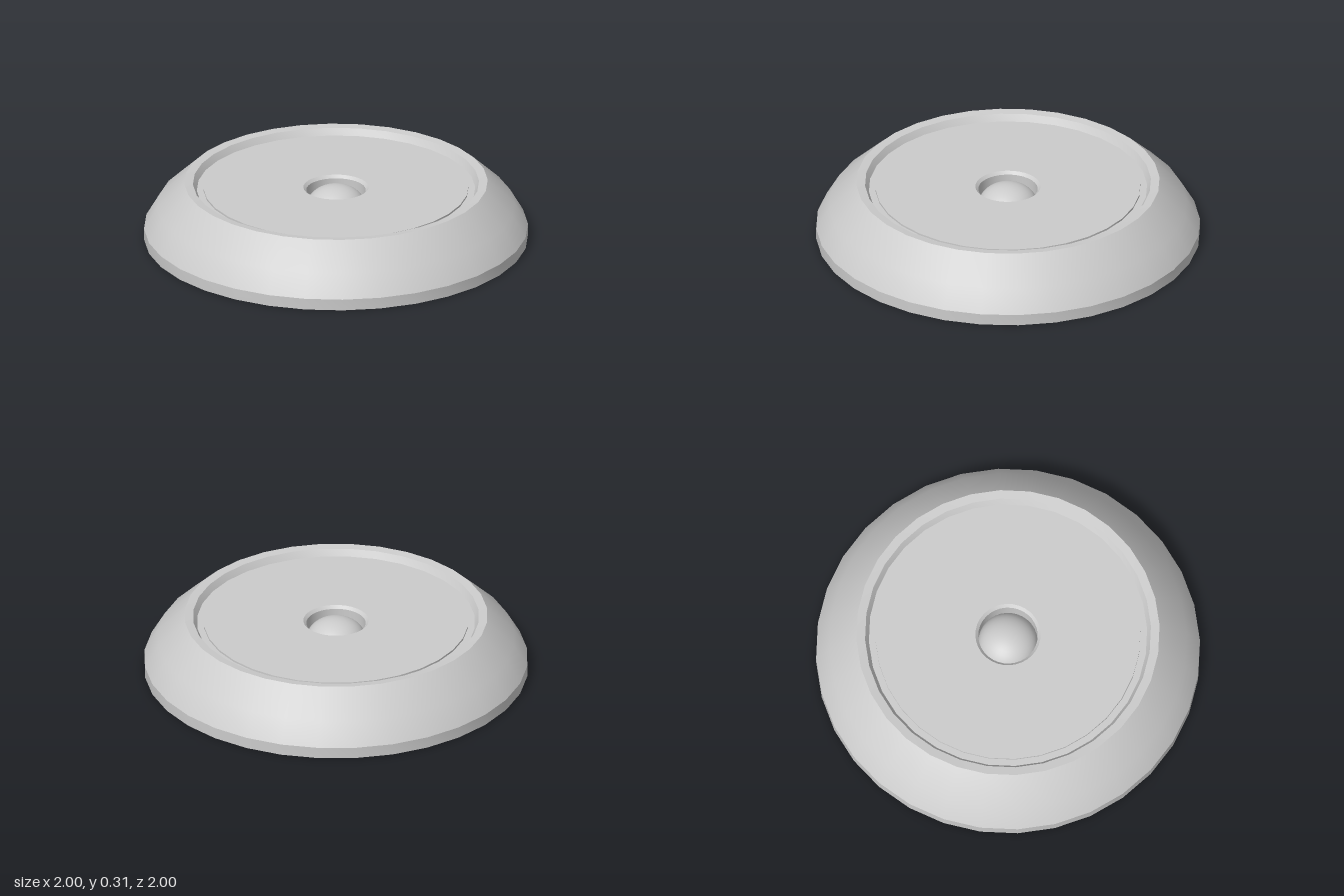
import * as THREE from 'three';
import { toCreasedNormals } from 'three/addons/utils/BufferGeometryUtils.js';

const SIDES = 32;
const material = new THREE.MeshStandardMaterial({ color: 0xcccccc });

// Revolves a profile of [radius, height] pairs, keeping sharp creases
function turned(name, profile) {
  const points = profile.map(([r, y]) => new THREE.Vector2(r, y));
  const geometry = toCreasedNormals(new THREE.LatheGeometry(points, SIDES), 0.45);
  const mesh = new THREE.Mesh(geometry, material);
  mesh.name = name;
  return mesh;
}

export function createModel() {
  const model = new THREE.Group();
  model.name = 'roundBase';

  // Rounded outer body with flat underside, rim and shallow recess
  model.add(turned('body', [
    [0, 0], [1, 0], [1, 0.06], [0.93, 0.18], [0.79, 0.31],
    [0.745, 0.305], [0.725, 0.27], [0.66, 0.27],
  ]));

  // Inset plate with a chamfered central hole
  model.add(turned('topPlate', [
    [0.69, 0.26], [0.69, 0.28], [0.17, 0.28], [0.155, 0.265], [0.155, 0.1], [0, 0.1],
  ]));

  // Domed button sunk into the hole
  const button = new THREE.Mesh(
    new THREE.SphereGeometry(0.155, SIDES, 10, 0, Math.PI * 2, 0, Math.PI / 2), material);
  button.name = 'centreButton';
  button.scale.y = 0.75;
  button.position.y = 0.17;
  model.add(button);

  return model;
}
